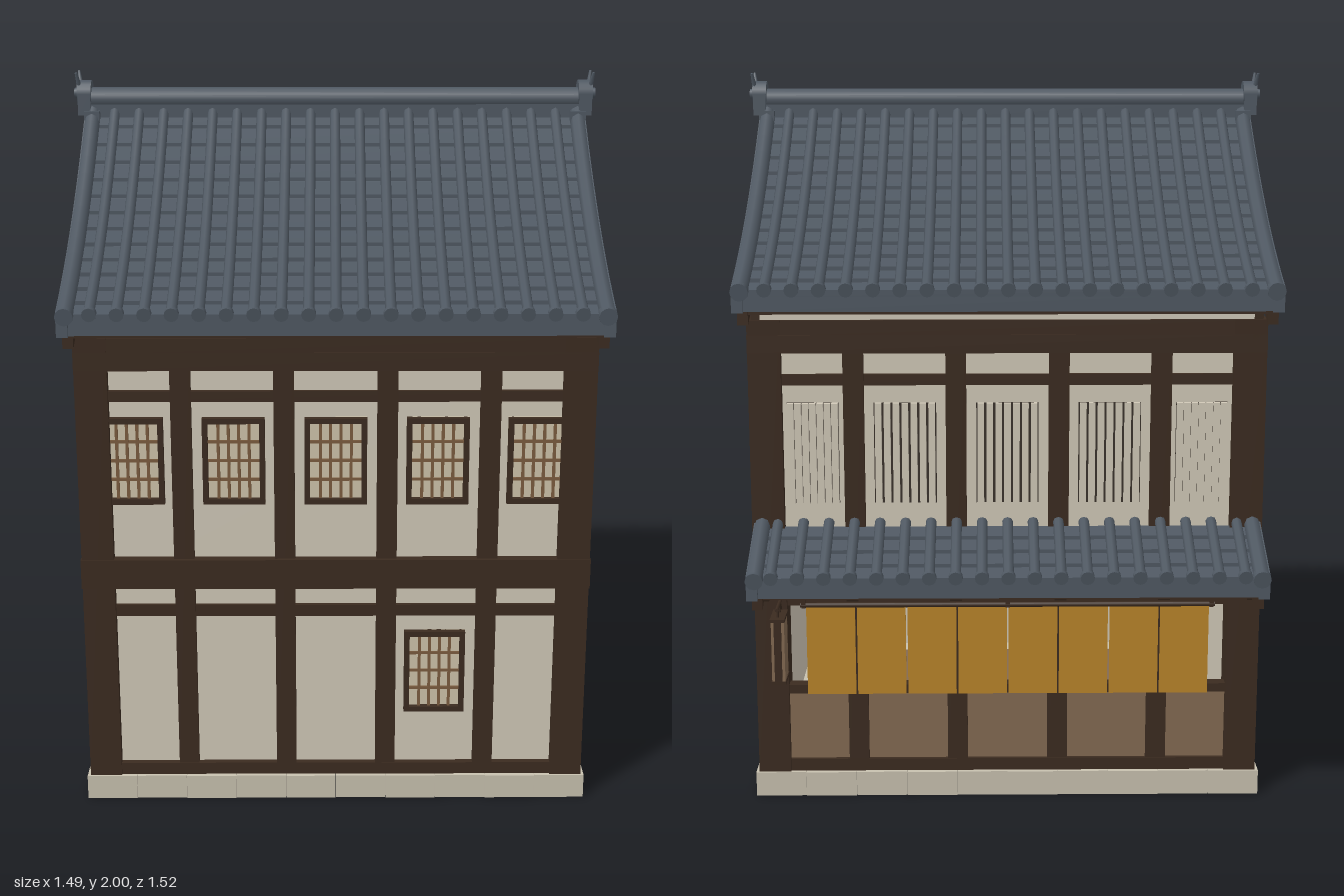
import * as THREE from 'three';
import { mergeGeometries } from 'three/addons/utils/BufferGeometryUtils.js';

const material = (name, color, extra = {}) => {
  const m = new THREE.MeshStandardMaterial({ color, ...extra });
  m.name = name;
  return m;
};
const slate = material('slate', 0x4f5862);
const timber = material('dark timber', 0x3b2b20);
const plaster = material('plaster', 0xd1c9b8);
const stone = material('foundation stone', 0xc8c1af);
const paper = material('window paper', 0xcfc4ab);
const lath = material('lattice wood', 0x7b5c3f);
const board = material('board wood', 0x836a52);
const cloth = material('ochre cloth', 0xb9842a);
const shade = material('dark recess', 0x3a322b);

// Body limits
const CZ = 0.015, ZF = 0.58, ZB = -0.55;

// Box from its limits
function box(x0, x1, y0, y1, z0, z1) {
  return new THREE.BoxGeometry(x1 - x0, y1 - y0, z1 - z0)
    .translate((x0 + x1) / 2, (y0 + y1) / 2, (z0 + z1) / 2);
}
function add(parent, name, mat, geos) {
  const list = [].concat(geos).map(g => (g.index ? g.toNonIndexed() : g));
  const mesh = new THREE.Mesh(mergeGeometries(list), mat);
  mesh.name = name;
  parent.add(mesh);
  return mesh;
}
// Round bar between two points [x, y, z]
function bar(a, b, ra, rb = ra, sides = 8) {
  const p = new THREE.Vector3(...a), d = new THREE.Vector3(...b).sub(p);
  const q = new THREE.Quaternion().setFromUnitVectors(new THREE.Vector3(0, 1, 0), d.clone().normalize());
  return new THREE.CylinderGeometry(rb, ra, d.length(), sides)
    .applyQuaternion(q).translate(...p.addScaledVector(d, 0.5).toArray());
}
// Solid across x from an outline of [z, y] points
function across(points, x0, x1) {
  const shape = new THREE.Shape(points.map(([z, y]) => new THREE.Vector2(-z, y)));
  return new THREE.ExtrudeGeometry(shape, { depth: x1 - x0, bevelEnabled: false })
    .rotateY(Math.PI / 2).translate(x0, 0, 0);
}

// One slope of tiles: h(d) is the height at distance d from the top line
function tileSlope(parent, name, h, z0, dir, length, rows, half, ribs) {
  const at = (d, drop = 0) => [z0 + dir * d, h(d) - drop];
  const slab = (top, bottom, end) => {
    const ds = Array.from({ length: 13 }, (_, i) => end * i / 12);
    return [...ds.map(d => at(d, top)), ...ds.reverse().map(d => at(d, bottom))];
  };
  // the same outline at both ends, mirrored in x
  const ends = (outline, x0, x1) => [across(outline, x0, x1), across(outline, -x1, -x0)];
  const g = new THREE.Group();
  g.name = name;
  parent.add(g);
  add(g, 'tileBed', slate, across(slab(0.03, 0.08, length - 0.005), -half + 0.005, half - 0.005));
  add(g, 'roofBoards', timber, across(slab(0.08, 0.095, length - 0.02), -half + 0.015, half - 0.015));
  add(g, 'bargeBoards', timber, ends(slab(0.075, 0.12, length - 0.015), half - 0.04, half - 0.012));
  add(g, 'vergeBands', slate, ends(slab(0.012, 0.078, length + 0.006), half - 0.03, half));
  const pans = [], rolls = [], verges = [];
  for (let r = 0; r < rows; r++) {
    const d0 = length * r / rows, d1 = length * (r + 1) / rows;
    const [za, ya] = at(d0, 0.016), [zb, yb] = at(d1, 0.016);
    // overlapping pan course with a raised lower edge
    pans.push(across([[za, ya - 0.014], [zb, yb - 0.004], [zb, yb - 0.022], [za, ya - 0.03]], -half + 0.02, half - 0.02));
    for (let i = 0; i < ribs; i++) {
      const x = (i - (ribs - 1) / 2) * 0.07;
      rolls.push(bar([x, ya, za], [x, yb, zb], 0.0145));
    }
    for (const s of [-1, 1]) {
      const x = s * (half - 0.022);
      verges.push(bar([x, ya - 0.005, za], [x, yb - 0.005, zb], 0.022));
    }
  }
  // round end tiles along the eave
  const [ze, ye] = at(length, 0.018);
  for (let i = 0; i < ribs; i++) {
    const x = (i - (ribs - 1) / 2) * 0.07;
    rolls.push(bar([x, ye, ze - dir * 0.012], [x, ye - 0.003, ze + dir * 0.005], 0.019, 0.019, 12));
  }
  for (const s of [-1, 1]) {
    const x = s * (half - 0.022);
    verges.push(bar([x, ye - 0.003, ze - dir * 0.015], [x, ye - 0.007, ze + dir * 0.013], 0.024, 0.024, 12));
  }
  add(g, 'panTiles', slate, pans);
  add(g, 'rollTiles', slate, rolls);
  add(g, 'vergeTiles', slate, verges);
}

// Framed paper lattice facing +z, centred on the origin
function lattice(name, w, h, cols, rows, f) {
  const g = new THREE.Group();
  g.name = name;
  const a = w / 2, b = h / 2;
  add(g, 'paper', paper, box(-a, a, -b, b, 0, 0.004));
  add(g, 'frame', timber, [box(-a, -a + f, -b, b, 0, 0.02), box(a - f, a, -b, b, 0, 0.02),
    box(-a, a, -b, -b + f, 0, 0.02), box(-a, a, b - f, b, 0, 0.02)]);
  const bars = [], iw = w - 2 * f, ih = h - 2 * f;
  for (let i = 1; i < cols; i++) bars.push(box(-0.004, 0.004, -b + f, b - f, 0.003, 0.011).translate(iw * (i / cols - 0.5), 0, 0));
  for (let i = 1; i < rows; i++) bars.push(box(-a + f, a - f, -0.004, 0.004, 0.003, 0.009).translate(0, ih * (i / rows - 0.5), 0));
  add(g, 'bars', lath, bars);
  return g;
}

export function createModel() {
  const house = new THREE.Group();
  house.name = 'townhouse';

  // Stone foundation ring and floor
  const stones = [];
  for (let i = 0; i < 10; i++) {
    const x = -0.71 + i * 0.142, e = (i % 2) * 0.002;
    stones.push(box(x + 0.0005, x + 0.1415, 0, 0.07, 0.465, 0.586 - e), box(x + 0.0005, x + 0.1415, 0, 0.07, -0.556 + e, -0.435));
  }
  for (let i = 0; i < 6; i++) {
    const z = -0.435 + i * 0.15, e = (i % 2) * 0.002;
    for (const s of [-1, 1]) stones.push(box(-0.06, 0.06, 0, 0.07, z + 0.0005, z + 0.1495).translate(s * (0.65 - e), 0, 0));
  }
  add(house, 'foundation', stone, stones);
  add(house, 'floor', board, box(-0.62, 0.62, 0.045, 0.069, -0.45, 0.48));

  // Plaster walls, with the shop front left open
  add(house, 'walls', plaster, [box(-0.675, 0.675, 0.62, 1.37, -0.525, 0.555),
    box(-0.675, 0.675, 0.07, 0.62, 0.53, 0.555),
    box(-0.675, -0.65, 0.07, 0.62, -0.525, 0.53), box(0.65, 0.675, 0.07, 0.62, -0.525, 0.53)]);
  add(house, 'wallHeads', plaster, [box(-0.68, 0.68, 1.355, 1.43, 0.54, 0.57), box(-0.68, 0.68, 1.355, 1.43, -0.54, -0.51)]);
  add(house, 'shopCeiling', timber, box(-0.65, 0.65, 0.6, 0.619, -0.52, 0.53));

  // Timber frame
  const frame = [];
  for (const x of [-0.656, 0.656]) for (const z of [ZF - 0.0435, ZB + 0.0435])
    frame.push(box(x - 0.0445, x + 0.0445, 0.07, 1.36, z - 0.0435, z + 0.0435));
  for (const x of [-0.418, -0.14, 0.14, 0.418])
    frame.push(box(x - 0.028, x + 0.028, 0.07, 1.34, 0.54, 0.572), box(x - 0.028, x + 0.028, 0.07, 1.34, -0.542, -0.505));
  for (const s of [-1, 1]) for (const z of [-0.262, CZ, 0.29])
    frame.push(box(-0.02, 0.02, 0.07, 1.34, z - 0.026, z + 0.026).translate(s * 0.672, 0, 0));
  // rails: [bottom, top, projection from the wall plane]
  for (const [y0, y1, p] of [[0.07, 0.105, 0.018], [0.557, 0.59, 0.012], [0.645, 0.73, 0.028], [1.18, 1.21, 0.012], [1.27, 1.32, 0.026], [1.315, 1.36, 0.024]]) {
    frame.push(box(-0.675 - p, 0.675 + p, y0, y1, 0.54, 0.555 + p), box(-0.675 - p, 0.675 + p, y0, y1, -0.525 - p, -0.51));
    frame.push(box(0.66, 0.675 + p, y0, y1, -0.525 - p, 0.555 + p), box(-0.675 - p, -0.66, y0, y1, -0.525 - p, 0.555 + p));
  }
  add(house, 'timberFrame', timber, frame);

  // Main roof with a gentle sag
  const L = 0.728;
  const h = d => { const t = d / L; return 1.92 - 0.435 * t - 0.16 * t * (1 - t); };
  for (const dir of [1, -1]) tileSlope(house, 'mainRoof', h, CZ, dir, L, 13, 0.715, 19);

  // Gable walls and their studs
  const gable = [];
  for (let i = -10; i <= 10; i++) gable.push([CZ - 0.054 * i, h(Math.abs(0.054 * i)) - 0.09]);
  gable.push([CZ - 0.54, 1.34], [CZ + 0.54, 1.34]);
  add(house, 'gableWalls', plaster, [across(gable, 0.64, 0.676), across(gable, -0.676, -0.64)]);
  const studs = [];
  for (const s of [-1, 1]) {
    for (const [y0, y1, z0, z1] of [[1.35, 1.82, 0.002, 0.028], [1.53, 1.552, -0.39, 0.42], [1.35, 1.46, 0.545, 0.572], [1.35, 1.46, -0.542, -0.515]])
      studs.push(box(-0.012, 0.012, y0, y1, z0, z1).translate(s * 0.677, 0, 0));
  }
  add(house, 'gableStuds', timber, studs);

  // Ridge and end ornaments
  add(house, 'ridge', slate, [box(-0.705, 0.705, 1.84, 1.93, CZ - 0.027, CZ + 0.027),
    bar([-0.71, 1.925, CZ], [0.71, 1.925, CZ], 0.031, 0.031, 14)]);
  for (const s of [-1, 1]) {
    const horn = z => bar([s * 0.728, 1.955, CZ + z * 0.018], [s * 0.735, 2.0, CZ + z * 0.033], 0.008, 0.004, 6);
    add(house, 'ridgeOrnament', slate, [bar([s * 0.695, 1.94, CZ], [s * 0.735, 1.94, CZ], 0.037, 0.037, 16),
      bar([s * 0.73, 1.94, CZ], [s * 0.745, 1.94, CZ], 0.015, 0.015, 10),
      box(-0.018, 0.018, 1.88, 1.94, CZ - 0.037, CZ + 0.037).translate(s * 0.715, 0, 0),
      box(-0.022, 0.022, 1.85, 1.893, CZ - 0.05, CZ + 0.05).translate(s * 0.693, 0, 0), horn(1), horn(-1)]);
  }

  // Lattice windows and side doors
  for (const [x, y] of [[-0.552, 1.012], [-0.277, 1.012], [0, 1.012], [0.277, 1.012], [0.552, 1.012], [0.277, 0.388]]) {
    const w = lattice('latticeWindow', 0.17, 0.245, 5, 4, 0.015);
    w.position.set(x, y, 0.554);
    house.add(w);
  }
  for (const s of [-1, 1]) {
    const d = lattice('latticeDoor', 0.18, 0.455, 5, 6, 0.008);
    d.rotation.y = s * Math.PI / 2;
    d.position.set(s * 0.674, 0.33, CZ - s * 0.39);
    house.add(d);
  }

  // Slatted windows over the shop
  const slats = [], recess = [];
  for (const x of [-0.53, -0.279, 0, 0.279, 0.53]) {
    const w = Math.abs(x) > 0.5 ? 0.14 : 0.17;
    recess.push(box(x - w / 2, x + w / 2, 0.85, 1.13, -0.529, -0.524));
    for (let i = 0; i < 7; i++) {
      const c = x + (i - 3) * w / 7;
      slats.push(box(c - 0.009, c + 0.009, 0.85, 1.13, -0.541, -0.526));
    }
  }
  add(house, 'slatRecesses', shade, recess);
  add(house, 'windowSlats', plaster, slats);

  // Shop front: waist panels and rail
  const panels = [];
  for (let i = -2; i <= 2; i++) panels.push(box(i * 0.279 - 0.12, i * 0.279 + 0.12, 0.1, 0.3, -0.532, -0.512));
  add(house, 'waistPanels', board, panels);
  add(house, 'waistRail', timber, box(-0.64, 0.64, 0.3, 0.325, -0.54, -0.505));

  // Shop canopy on brackets
  const hc = d => 0.815 - 0.46 * d;
  tileSlope(house, 'canopyRoof', hc, ZB + 0.01, -1, 0.206, 4, 0.695, 19);
  const arms = [box(-0.68, 0.68, 0.635, 0.662, -0.71, -0.685)];
  for (const x of [-0.658, -0.418, -0.14, 0.14, 0.418, 0.658])
    arms.push(across([[-0.53, 0.635], [-0.71, 0.645], [-0.7, 0.622], [-0.53, 0.6]], x - 0.016, x + 0.016));
  add(house, 'canopyBrackets', timber, arms);

  // Hanging cloth curtain with narrow slits
  const curtains = [];
  for (let i = 0; i < 8; i++)
    curtains.push(box(-0.067, 0.067, 0.32, 0.575, -0.597, -0.593).translate((i - 3.5) * 0.139, 0, 0));
  add(house, 'curtain', cloth, curtains);
  add(house, 'curtainRod', timber, [bar([-0.57, 0.577, -0.595], [0.57, 0.577, -0.595], 0.007),
    ...[-0.56, 0, 0.56].map(x => box(x - 0.006, x + 0.006, 0.57, 0.64, -0.601, -0.589))]);

  // Hanging sign board
  const sx = 0.625;
  add(house, 'signBoard', board, box(sx - 0.018, sx + 0.018, 0.38, 0.555, -0.665, -0.59));
  add(house, 'signFrame', timber, [box(sx - 0.02, sx + 0.02, 0.552, 0.561, -0.671, -0.584), box(sx - 0.02, sx + 0.02, 0.375, 0.383, -0.671, -0.584),
    box(sx - 0.01, sx + 0.01, 0.38, 0.556, -0.593, -0.585), box(sx - 0.01, sx + 0.01, 0.38, 0.556, -0.67, -0.662),
    bar([sx, 0.588, -0.54], [sx, 0.588, -0.675], 0.005), bar([sx, 0.52, -0.54], [sx, 0.585, -0.6], 0.004),
    bar([sx, 0.56, -0.605], [sx, 0.588, -0.605], 0.003), bar([sx, 0.56, -0.65], [sx, 0.588, -0.65], 0.003)]);
  return house;
}
